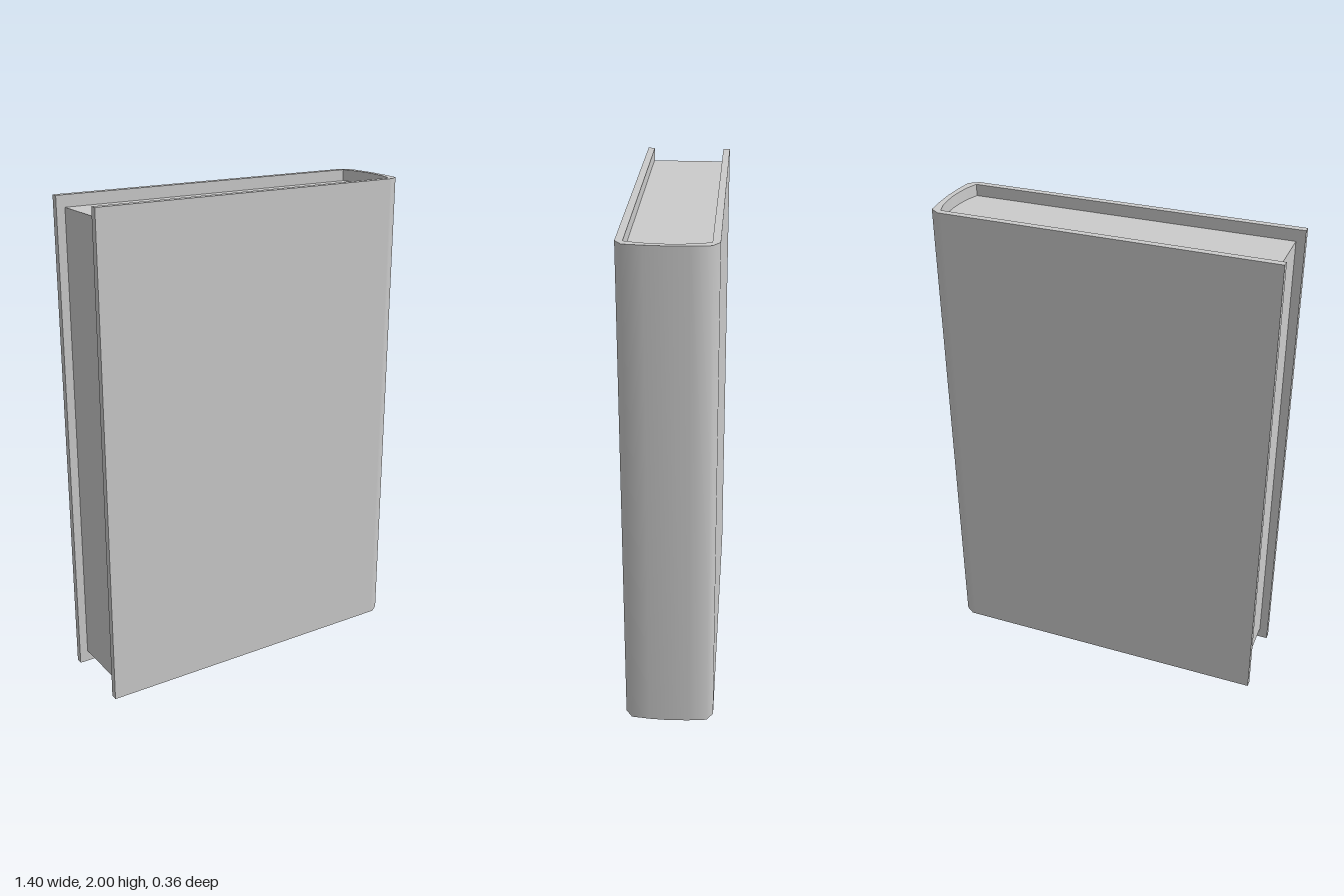
import * as THREE from 'three';
import { toCreasedNormals } from 'three/addons/utils/BufferGeometryUtils.js';

const HEIGHT = 2;
const PAGE_INSET = 0.047;

// Half profiles (x, z) running from the fore edge to the middle of the spine
const outer = [[-0.7, 0.178], [0.635, 0.178], [0.647, 0.178], [0.685, 0.152], [0.693, 0.08], [0.697, 0]];
const inner = [[-0.7, 0.15], [0.648, 0.15], [0.664, 0.1], [0.671, 0.05], [0.674, 0]];
const pageEdge = [[-0.665, 0.15], ...inner.slice(1)];

// Completes a half profile with its mirror image across z = 0
const mirrored = (half) => [...half, ...half.slice(0, -1).reverse().map(([x, z]) => [x, -z])];

// Extrudes a plan outline upwards
function upright(name, outline, bottom, height, material) {
  const shape = new THREE.Shape(outline.map(([x, z]) => new THREE.Vector2(x, -z)));
  let geometry = new THREE.ExtrudeGeometry(shape, { depth: height, bevelEnabled: false });
  geometry.rotateX(-Math.PI / 2);
  geometry = toCreasedNormals(geometry, THREE.MathUtils.degToRad(55));
  const mesh = new THREE.Mesh(geometry, material);
  mesh.name = name;
  mesh.position.y = bottom;
  return mesh;
}

export function createModel() {
  const group = new THREE.Group();
  group.name = 'book';
  const material = new THREE.MeshStandardMaterial({ color: 0xcccccc });

  // Hard cover: two boards joined by a rounded spine
  const coverOutline = [...mirrored(outer), ...mirrored(inner).reverse()];
  group.add(upright('cover', coverOutline, 0, HEIGHT, material));

  // Page block, recessed at the head, tail and fore edge
  group.add(upright('pages', mirrored(pageEdge), PAGE_INSET, HEIGHT - 2 * PAGE_INSET, material));

  return group;
}
